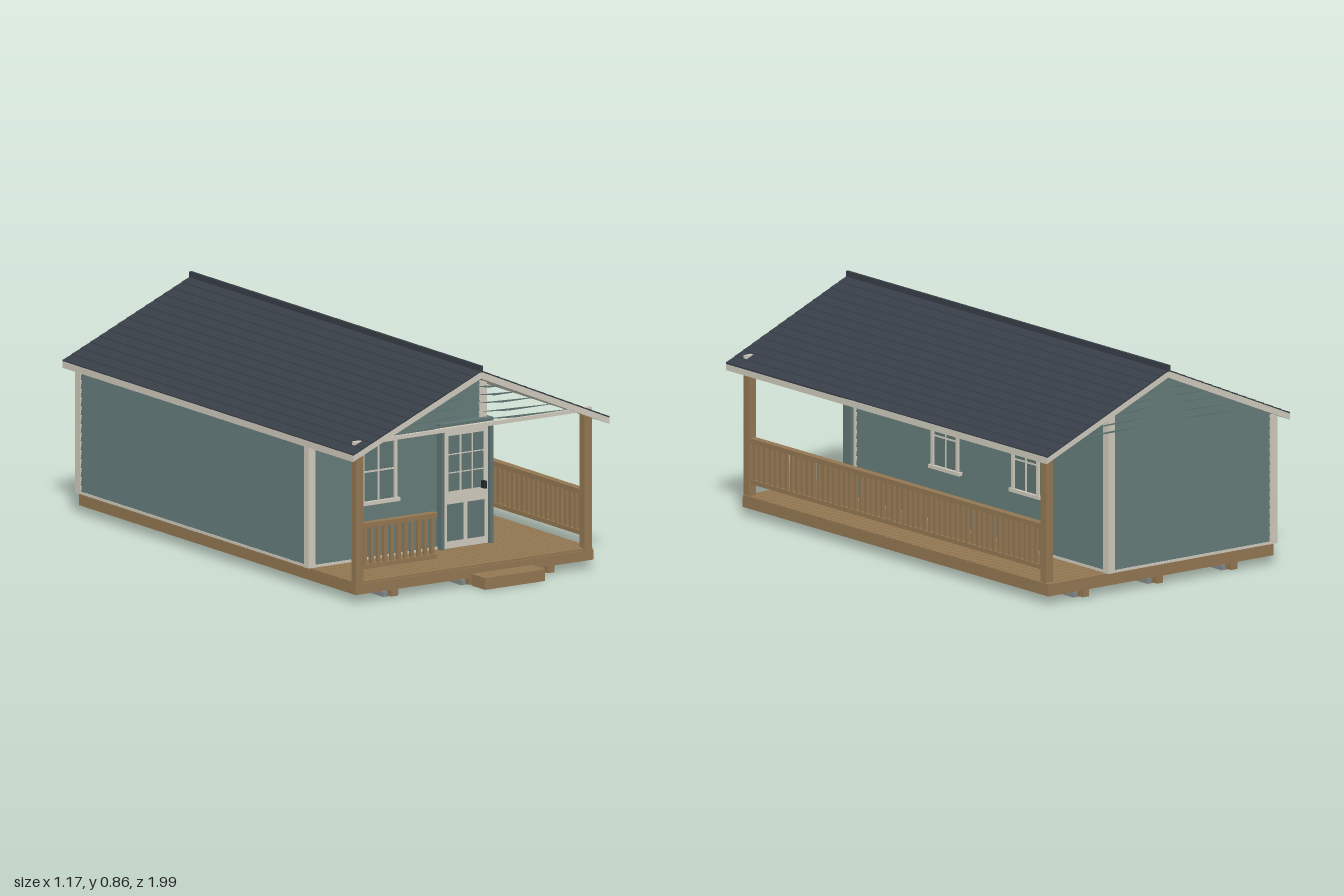
import * as THREE from 'three';

const mat = (name, hex, side = THREE.FrontSide) => {
  const m = new THREE.MeshStandardMaterial({ color: hex, side });
  m.name = name;
  return m;
};

const SLOPE = 0.43, RIDGE = 0.838;
const W = { left: -0.54, right: 0.25, front: 0.6, back: -0.945, base: 0.08 };

export function createModel() {
  const teal = mat('teal siding', 0x5f7573, THREE.DoubleSide);
  const trim = mat('off-white trim', 0xcfcabd);
  const wood = mat('brown timber', 0x937752);
  const slate = mat('dark roofing', 0x383e47);
  const stone = mat('grey footing', 0x85888a);
  const iron = mat('black hardware', 0x23272c);
  const model = new THREE.Group();
  model.name = 'cabin';

  const group = (name, parent = model) => {
    const g = new THREE.Group();
    g.name = name;
    parent.add(g);
    return g;
  };
  // Box given by its minimum and maximum corners
  const box = (name, m, x0, x1, y0, y1, z0, z1, parent = model) => {
    const mesh = new THREE.Mesh(new THREE.BoxGeometry(x1 - x0, y1 - y0, z1 - z0), m);
    mesh.position.set((x0 + x1) / 2, (y0 + y1) / 2, (z0 + z1) / 2);
    mesh.name = name;
    parent.add(mesh);
    return mesh;
  };
  // Outline in x and y, pushed along z
  const prism = (name, m, points, z0, z1, parent = model) => {
    const shape = new THREE.Shape(points.map(p => new THREE.Vector2(...p)));
    const mesh = new THREE.Mesh(
      new THREE.ExtrudeGeometry(shape, { depth: z1 - z0, bevelEnabled: false }), m);
    mesh.position.z = z0;
    mesh.name = name;
    parent.add(mesh);
    return mesh;
  };

  // Footings, skids and deck
  const base = group('base');
  for (const x of [-0.355, 0, 0.355]) {
    box('skid', wood, x - 0.015, x + 0.015, 0.004, 0.035, -0.94, 0.9, base);
    for (const z of [0.83, -0.015, -0.865])
      box('footing', stone, x - 0.035, x + 0.035, 0, 0.02, z - 0.043, z + 0.043, base);
  }
  box('deckFrame', wood, -0.54, 0.54, 0.033, 0.072, -0.945, 0.91, base);
  const boards = 53, pitch = 1.855 / boards;
  for (let i = 0; i < boards; i++) {
    const z = -0.945 + i * pitch;
    box('deckBoard', wood, -0.54, 0.54, 0.07, 0.08, z, z + pitch - 0.005, base);
  }
  box('step', wood, -0.013, 0.26, 0.003, 0.048, 0.91, 1.0, base);

  // House core under the roof
  const house = group('house');
  const under = x => 0.818 - SLOPE * Math.abs(x);
  prism('wallCore', teal, [
    [W.left, W.base], [W.right, W.base], [W.right, under(W.right)], [0, under(0)], [W.left, under(W.left)],
  ], W.back, W.front, house);

  // Lap siding: slanted courses with a lip underneath, between two side limits
  const siding = (name, limits, top, place) => {
    const pos = [], idx = [], h = 0.034;
    for (let v = W.base; v < top - 0.003; v += h) {
      const v1 = Math.min(v + h, top), [l0, r0] = limits(v), [l1, r1] = limits(v1);
      const k = pos.length / 3;
      pos.push(l0, v, 0.007, r0, v, 0.007, r1, v1, 0.001, l1, v1, 0.001, l0, v, 0, r0, v, 0);
      idx.push(k, k + 1, k + 2, k, k + 2, k + 3, k + 4, k + 5, k + 1, k + 4, k + 1, k);
    }
    const g = new THREE.BufferGeometry();
    g.setAttribute('position', new THREE.Float32BufferAttribute(pos, 3));
    g.setIndex(idx);
    const flat = g.toNonIndexed();
    flat.computeVertexNormals();
    const mesh = new THREE.Mesh(flat, teal);
    mesh.name = name;
    place(mesh);
    house.add(mesh);
  };
  const gable = (l, r) => v => {
    const half = Math.max(0, (0.818 - v) / SLOPE);
    return [Math.max(l, -half), Math.min(r, half)];
  };
  siding('frontSiding', gable(W.left, W.right), 0.818, m => { m.position.z = W.front; });
  siding('backSiding', gable(-W.right, -W.left), 0.818, m => { m.position.z = W.back; m.rotation.y = Math.PI; });
  siding('rightSiding', () => [-W.front, -W.back], under(W.right),
    m => { m.position.x = W.right; m.rotation.y = Math.PI / 2; });
  siding('leftSiding', () => [W.back, W.front], under(W.left),
    m => { m.position.x = W.left; m.rotation.y = -Math.PI / 2; });

  // Corner boards and skirting
  for (const x of [W.left, W.right]) for (const z of [W.back, W.front]) {
    const sx = x < 0 ? -1 : 1, sz = z < 0 ? -1 : 1;
    const xs = [x + sx * 0.01, x - sx * 0.022].sort((a, b) => a - b);
    const zs = [z + sz * 0.01, z - sz * 0.022].sort((a, b) => a - b);
    box('cornerBoard', trim, ...xs, W.base, under(x) - 0.005, ...zs, house);
  }
  box('skirting', trim, W.left - 0.008, W.right + 0.008, W.base, 0.09, W.back - 0.008, W.front + 0.008, house);

  // Window, centred on its own x and facing its own +z
  const addWindow = (x, z, turn) => {
    const w = group('window', house), a = 0.082, y0 = 0.3, y1 = 0.54, t = 0.013;
    w.position.set(x, 0, z);
    w.rotation.y = turn;
    box('pane', teal, -a, a, y0, y1, 0, 0.009, w);
    for (const s of [-1, 1]) box('jamb', trim, s * (a - t / 2) - t / 2, s * (a - t / 2) + t / 2, y0, y1, 0, 0.018, w);
    box('head', trim, -a, a, y1 - t, y1, 0, 0.0175, w);
    box('sill', trim, -a - 0.01, a + 0.01, y0 - 0.008, y0 + 0.006, 0, 0.022, w);
    box('mullion', trim, -0.003, 0.003, y0, y1, 0, 0.013, w);
    box('crossbar', trim, -a, a, 0.417, 0.423, 0, 0.0125, w);
  };
  addWindow(-0.233, W.front, 0);
  addWindow(W.right, 0.03, Math.PI / 2);
  addWindow(W.right, -0.457, Math.PI / 2);

  // Door with nine lights above and two panels below
  const door = group('door', house);
  box('doorFrameLeft', teal, 0.036, 0.051, 0.08, 0.565, 0.59, 0.635, door);
  box('doorFrameRight', teal, 0.259, 0.274, 0.08, 0.565, 0.59, 0.635, door);
  box('doorFrameTop', teal, 0.036, 0.274, 0.552, 0.565, 0.59, 0.635, door);
  box('doorLeaf', trim, 0.051, 0.259, 0.08, 0.552, 0.59, 0.62, door);
  box('doorGlass', teal, 0.078, 0.237, 0.3, 0.513, 0.618, 0.622, door);
  for (const i of [1, 2]) {
    const x = 0.078 + i * 0.053, y = 0.3 + i * 0.071;
    box('doorBar', trim, x - 0.003, x + 0.003, 0.3, 0.513, 0.62, 0.625, door);
    box('doorBar', trim, 0.078, 0.237, y - 0.002, y + 0.002, 0.62, 0.6245, door);
  }
  for (const x of [0.071, 0.165]) box('doorPanel', teal, x, x + 0.075, 0.108, 0.25, 0.618, 0.622, door);
  box('doorHandle', iron, 0.224, 0.237, 0.297, 0.325, 0.62, 0.645, door);

  // Porch posts, tie beam and railings
  const porch = group('porch');
  for (const [x, z] of [[-0.52, 0.893], [0.517, 0.893], [0.517, -0.907]])
    box('post', wood, x - 0.017, x + 0.017, 0.07, 0.601, z - 0.016, z + 0.016, porch);
  box('tieBeam', trim, -0.54, 0.54, 0.606, 0.621, 0.885, 0.902, porch);
  const railing = (length, x, z, turn) => {
    const r = group('railing', porch);
    r.position.set(x, 0, z);
    r.rotation.y = turn;
    box('topRail', wood, 0, length, 0.284, 0.303, -0.015, 0.015, r);
    box('bottomRail', wood, 0, length, 0.125, 0.142, -0.01, 0.01, r);
    const n = Math.round(length / 0.032);
    for (let i = 0; i < n; i++) {
      const c = (i + 0.5) * length / n;
      box('baluster', wood, c - 0.007, c + 0.007, 0.135, 0.29, -0.007, 0.007, r);
    }
  };
  railing(0.336, -0.503, 0.893, 0);
  railing(1.77, 0.517, 0.877, Math.PI / 2);

  // Thin pointed strips across both gables
  for (const y of [0.625, 0.655, 0.69, 0.722, 0.755, 0.787]) {
    const half = (0.825 - y) / SLOPE;
    for (const z of [0.902, -0.958]) for (const s of [-1, 1]) {
      const pts = [[s * half, y], [s * half * 0.08, y + 0.012], [s * half * 0.4, y]];
      prism('gableStrip', teal, s < 0 ? pts : pts.reverse(), z, z + 0.004, porch);
    }
  }

  // Roof: trim deck with a thin covering of overlapping courses, and a ridge cap
  const roof = group('roof');
  const z0 = -0.99, z1 = 0.955, edge = 0.583;
  const top = x => RIDGE - SLOPE * Math.abs(x);
  prism('roofDeck', trim, [
    [-edge, top(edge) - 0.028], [0, top(0) - 0.03], [edge, top(edge) - 0.028],
    [edge, top(edge) - 0.002], [0, top(0) - 0.002], [-edge, top(edge) - 0.002],
  ], z0, z1, roof);
  const courses = 14;
  for (const s of [-1, 1]) for (let i = 0; i < courses; i++) {
    const a = s * edge * i / courses, b = s * edge * (i + 1) / courses;
    const pts = [[a, top(a) - 0.004], [a, top(a)], [b, top(b) + 0.002], [b, top(b) - 0.004]];
    prism('roofCourse', slate, pts, z0 - 0.002, z1 + 0.001, roof);
  }
  box('ridgeCap', slate, -0.006, 0.006, 0.832, 0.857, z0 - 0.004, z1 + 0.002, roof);

  return model;
}
